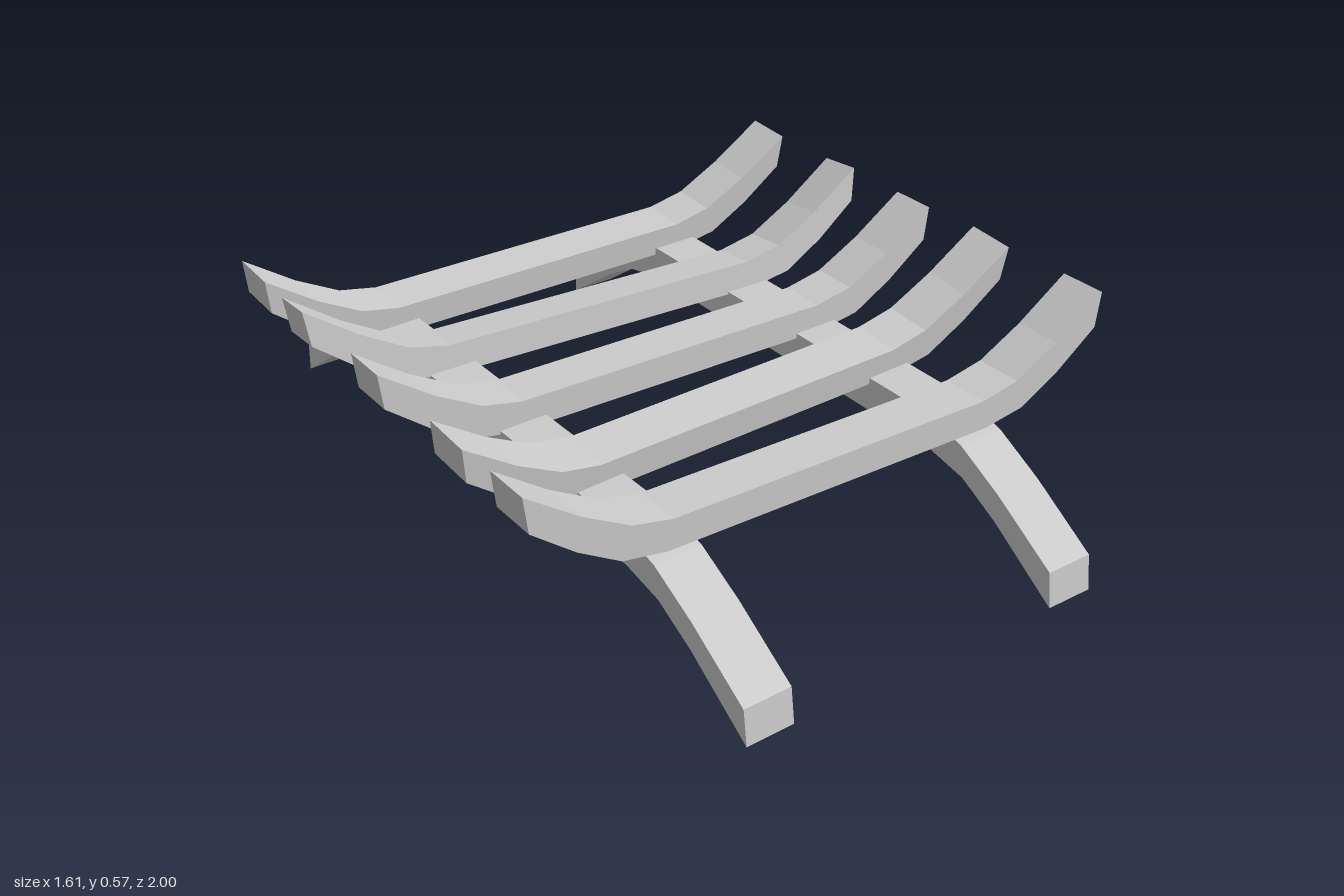
import * as THREE from 'three';

const WIDTH = 0.125;
const material = new THREE.MeshStandardMaterial({ color: 0xcccccc, flatShading: true });

// Symmetric bent bar: upper and lower edges of the +x half, from middle to tip
function bentBar(upper, lower) {
  const mirror = (pts) => pts.map(([x, y]) => [-x, y]);
  const outline = [
    ...mirror(lower).reverse(), ...lower,
    ...[...upper].reverse(), ...mirror(upper),
  ].map(([x, y]) => new THREE.Vector2(x, y));
  const geo = new THREE.ExtrudeGeometry(new THREE.Shape(outline), { depth: WIDTH, bevelEnabled: false });
  return geo.translate(0, 0, -WIDTH / 2);
}

export function createModel() {
  const group = new THREE.Group();

  const add = (name, geo, position, rotation) => {
    const mesh = new THREE.Mesh(geo, material);
    mesh.name = name;
    mesh.position.set(...position);
    mesh.rotation.set(...rotation);
    group.add(mesh);
  };

  // Cross slats, ends curving up; heights relative to the slat centre
  const slat = bentBar(
    [[0.44, 0.038], [0.545, 0.06], [0.665, 0.125], [0.803, 0.22]],
    [[0.455, -0.038], [0.57, -0.019], [0.68, 0.045], [0.791, 0.13]],
  );
  // z, lean, yaw of each slat
  [
    [0.612, 0, 0],
    [0.307, 0.11, 0.045],
    [0, 0, 0],
    [-0.311, -0.11, -0.045],
    [-0.619, 0.075, 0.022],
  ].forEach(([z, lean, yaw], i) => add(`slat${i + 1}`, slat, [0, 0.34, z], [lean, yaw, 0]));

  // Long runners, ends curving down to form the feet
  const runner = bentBar(
    [[0.56, 0.046], [0.68, 0.014], [0.81, -0.055], [0.988, -0.17]],
    [[0.57, -0.044], [0.69, -0.068], [0.805, -0.13], [0.998, -0.262]],
  ).rotateY(Math.PI / 2);
  add('rightRunner', runner, [-0.438, 0.275, 0], [0.004, 0.01, 0.03]);
  add('leftRunner', runner, [0.437, 0.272, 0], [0.005, 0.003, 0.02]);

  return group;
}
